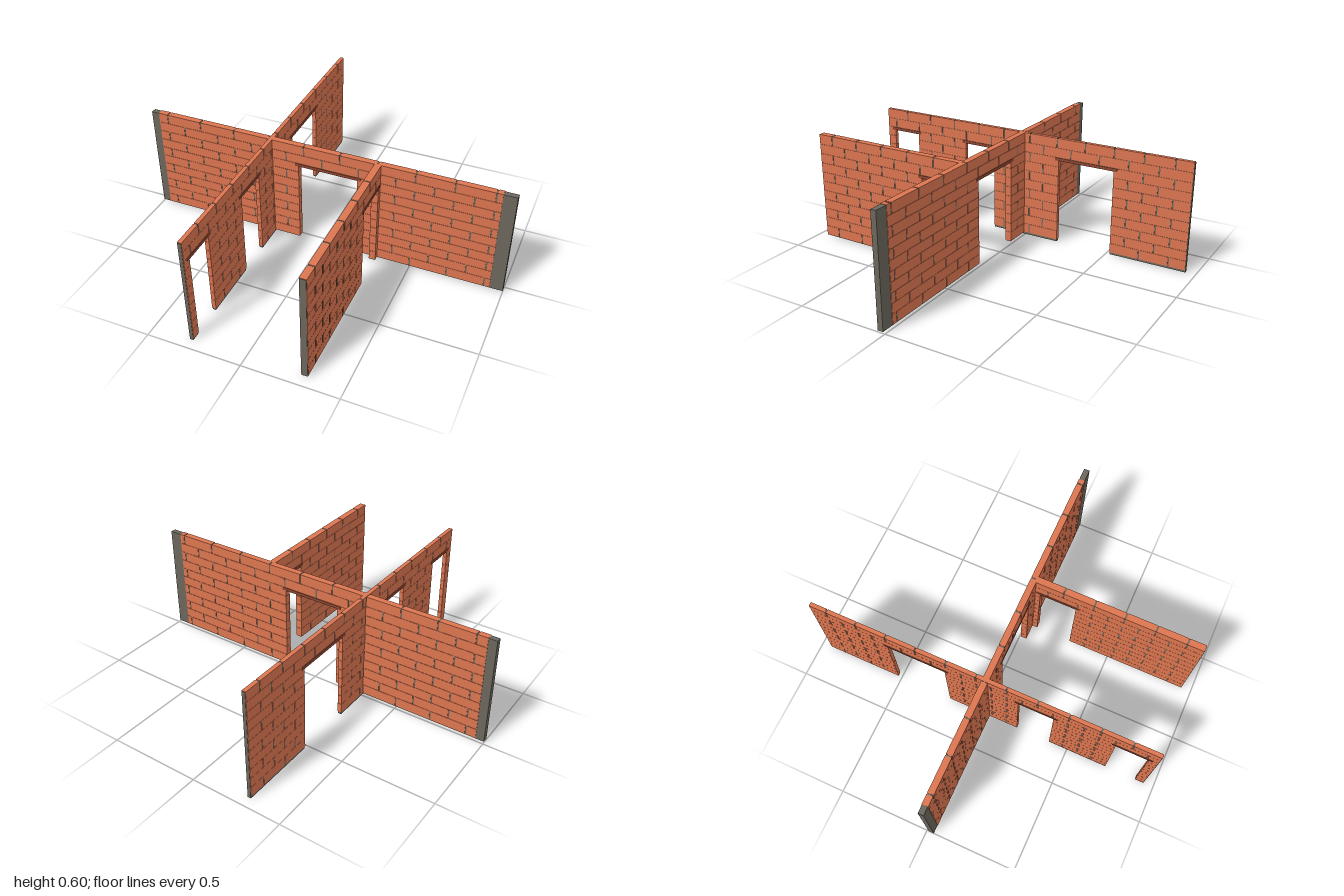
import * as THREE from 'three';
import { mergeGeometries } from 'three/addons/utils/BufferGeometryUtils.js';

const BRICK = new THREE.MeshStandardMaterial({ color: 0xdb7550 });
const MORTAR = new THREE.MeshStandardMaterial({ color: 0x6b665c });
const LINTEL = new THREE.MeshStandardMaterial({ color: 0x8e4630 });

const TOP = 0.6, BASE = 0.012, COURSES = 11, DOOR_TOP = 0.475;
const PITCH = (TOP - BASE) / COURSES;
const JOINT = 0.008, BED = 0.0015, RECESS = 0.002;

function box(x0, x1, y0, y1, depth) {
  const g = new THREE.BoxGeometry(x1 - x0, y1 - y0, depth);
  g.translate((x0 + x1) / 2, (y0 + y1) / 2, 0);
  return g;
}

function part(name, geometries, material) {
  const mesh = new THREE.Mesh(mergeGeometries(geometries), material);
  mesh.name = name;
  return mesh;
}

// Stretches of wall left standing between the doorways
function piers(start, end, doors) {
  const list = [];
  let from = start;
  for (const [a, b] of doors) {
    list.push([from, a]);
    from = b;
  }
  list.push([from, end]);
  return list;
}

// One course of bricks between two ends, cut to the running bond
function layCourse(out, from, to, row, length, origin, depth) {
  const y0 = BASE + row * PITCH;
  const y1 = row === COURSES - 1 ? TOP : y0 + PITCH - BED;
  const shift = origin + (row % 2 ? length / 2 : 0);
  let joint = shift + Math.ceil((from - shift + 0.012) / length) * length;
  let x = from;
  while (joint < to - 0.012) {
    out.push(box(x, joint - JOINT / 2, y0, y1, depth));
    x = joint + JOINT / 2;
    joint += length;
  }
  out.push(box(x, to, y0, y1, depth));
}

// A wall along x: mortar core, brick faces and door lintels
function wall({ name, start, end, bricksFrom, bricksTo, doors, depth, foot, length, origin }) {
  const group = new THREE.Group();
  group.name = name;

  const core = [box(start, end, DOOR_TOP + 0.006, TOP - RECESS, depth - 2 * RECESS)];
  for (const [a, b] of piers(start, end, doors)) {
    const x0 = a === start ? a : a + RECESS;
    const x1 = b === end ? b : b - RECESS;
    core.push(box(x0, x1, foot, DOOR_TOP + 0.006, depth - 2 * RECESS));
  }
  group.add(part('mortarCore', core, MORTAR));

  const bricks = [];
  for (let row = 0; row < COURSES; row++) {
    const cut = row < 9 ? doors : [];
    for (const [a, b] of piers(bricksFrom, bricksTo, cut)) {
      layCourse(bricks, a, b, row, length, origin, depth);
    }
  }
  group.add(part('bricks', bricks, BRICK));

  if (doors.length) {
    const lintels = doors.map(([a, b]) =>
      box(Math.max(a - 0.02, start), Math.min(b + 0.02, end), DOOR_TOP, 0.491, depth + 0.004));
    group.add(part('doorLintels', lintels, LINTEL));
  }
  return group;
}

export function createModel() {
  const model = new THREE.Group();
  model.name = 'brickWalls';

  // Long cross wall with bare mortar at both ends
  const crossWall = wall({
    name: 'crossWall', start: -1, end: 1, bricksFrom: -0.955, bricksTo: 0.93,
    doors: [[-0.13, 0.195]], depth: 0.034, foot: 0.008, length: 0.2, origin: -0.9,
  });
  crossWall.position.z = 0.025;
  model.add(crossWall);

  // Thin partition running front to back with three doorways
  const partition = wall({
    name: 'thinPartition', start: -0.945, end: 0.945, bricksFrom: -0.943, bricksTo: 0.943,
    doors: [[-0.52, -0.2], [0.205, 0.395], [0.725, 0.895]],
    depth: 0.022, foot: 0, length: 0.165, origin: -0.85,
  });
  partition.rotation.y = -Math.PI / 2;
  partition.position.x = -0.289;
  model.add(partition);

  // Thicker front wall meeting the cross wall beside a doorway
  const frontWall = wall({
    name: 'frontWall', start: 0.035, end: 0.945, bricksFrom: 0.035, bricksTo: 0.943,
    doors: [[0.07, 0.27]], depth: 0.036, foot: 0.008, length: 0.165, origin: 0.03,
  });
  frontWall.rotation.y = -Math.PI / 2;
  frontWall.position.x = 0.302;
  model.add(frontWall);

  return model;
}
